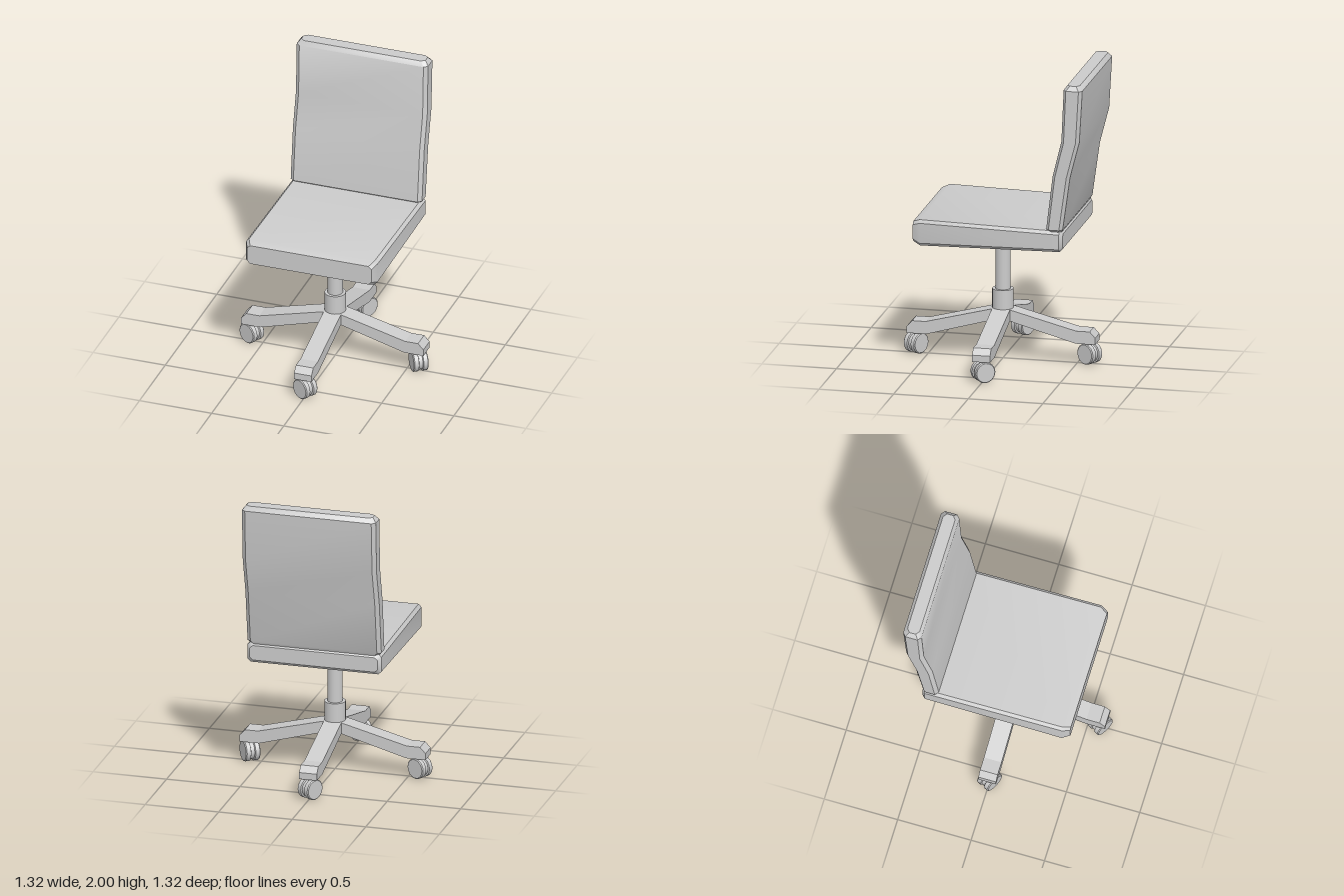
import * as THREE from 'three';
import { toCreasedNormals } from 'three/addons/utils/BufferGeometryUtils.js';

const material = new THREE.MeshStandardMaterial({ color: 0xcccccc });

function add(parent, name, geometry, y = 0) {
  const mesh = new THREE.Mesh(geometry, material);
  mesh.name = name;
  mesh.position.y = y;
  parent.add(mesh);
  return mesh;
}

// Rectangle with chamfered corners, counter-clockwise
function octagon(u0, u1, v0, v1, cu, cv) {
  return [
    [u1, v0 + cv], [u1, v1 - cv], [u1 - cu, v1], [u0 + cu, v1],
    [u0, v1 - cv], [u0, v0 + cv], [u0 + cu, v0], [u1 - cu, v0],
  ];
}

// Skin a row of closed rings of [x, y, z] points and cap both ends
function loft(rings) {
  const n = rings[0].length;
  const last = (rings.length - 1) * n;
  const index = [];
  for (let i = 0; i < rings.length - 1; i++) {
    for (let j = 0; j < n; j++) {
      const a = i * n + j, b = i * n + (j + 1) % n;
      index.push(a, b, b + n, a, b + n, a + n);
    }
  }
  for (let j = 1; j < n - 1; j++) {
    index.push(0, j + 1, j, last, last + j, last + j + 1);
  }
  const geometry = new THREE.BufferGeometry();
  geometry.setAttribute('position', new THREE.Float32BufferAttribute(rings.flat(2), 3));
  geometry.setIndex(index);
  return toCreasedNormals(geometry, 0.6);
}

// Seat cushion: stations of z, half width, bottom, top
function seatGeometry() {
  const stations = [
    [-0.50, 0.435, 0.89, 0.99],
    [-0.48, 0.455, 0.87, 1.01],
    [0.455, 0.455, 0.855, 1.03],
    [0.505, 0.43, 0.875, 1.01],
  ];
  return loft(stations.map(([z, w, y0, y1]) =>
    octagon(-w, w, y0, y1, 0.02, 0.02).map(([x, y]) => [x, y, z])));
}

// Backrest: stations of y, half width, back z, front z
function backrestGeometry() {
  const stations = [
    [1.0, 0.435, -0.49, -0.41],
    [1.02, 0.455, -0.5, -0.39],
    [1.38, 0.455, -0.55, -0.433],
    [1.62, 0.455, -0.612, -0.492],
    [1.97, 0.455, -0.632, -0.507],
    [2.0, 0.43, -0.61, -0.528],
  ];
  return loft(stations.map(([y, w, z0, z1]) =>
    octagon(z0, z1, -w, w, 0.02, 0.025).map(([z, x]) => [x, y, z])));
}

// Base leg: side profile running out along +x
function legGeometry() {
  const profile = [
    [0, 0.27], [0.055, 0.27], [0.5, 0.145], [0.632, 0.145],
    [0.632, 0.19], [0.595, 0.23], [0.505, 0.23], [0.06, 0.345], [0, 0.345],
  ];
  const shape = new THREE.Shape(profile.map(([x, y]) => new THREE.Vector2(x, y)));
  const geometry = new THREE.ExtrudeGeometry(shape, { depth: 0.12, bevelEnabled: false });
  return geometry.translate(0, 0, -0.06);
}

// Twin-wheel caster: one turned body with a groove in the middle, axis along z
function casterGeometry() {
  const profile = [
    [0, -0.05], [0.064, -0.05], [0.07, -0.044], [0.07, -0.016], [0.06, -0.012],
    [0.06, 0.012], [0.07, 0.016], [0.07, 0.044], [0.064, 0.05], [0, 0.05],
  ].map(([r, h]) => new THREE.Vector2(r, h));
  return toCreasedNormals(new THREE.LatheGeometry(profile, 16).rotateX(Math.PI / 2), 0.6);
}

export function createModel() {
  const chair = new THREE.Group();
  chair.name = 'officeChair';

  add(chair, 'seat', seatGeometry());
  add(chair, 'backrest', backrestGeometry());

  // Central column
  add(chair, 'seatCollar', new THREE.CylinderGeometry(0.07, 0.07, 0.05, 24), 0.842);
  add(chair, 'column', new THREE.CylinderGeometry(0.05, 0.05, 0.42, 24), 0.64);
  add(chair, 'hub', new THREE.CylinderGeometry(0.07, 0.07, 0.13, 24), 0.41);

  // Four legs, each with a caster swivelled its own way
  const leg = legGeometry();
  const wheel = casterGeometry();
  const pin = new THREE.CylinderGeometry(0.015, 0.015, 0.06, 10);
  const sides = [
    ['left', 1, 0, -54],
    ['back', 0, -1, 60],
    ['right', -1, 0, -27],
    ['front', 0, 1, -30],
  ];
  sides.forEach(([side, dx, dz, swivel], i) => {
    add(chair, side + 'Leg', leg).rotation.y = i * Math.PI / 2;

    const caster = new THREE.Group();
    caster.name = side + 'Caster';
    caster.position.set(dx * 0.578, 0, dz * 0.582);
    caster.rotation.y = THREE.MathUtils.degToRad(swivel);
    add(caster, 'wheels', wheel, 0.07);
    add(caster, 'pin', pin, 0.14);
    chair.add(caster);
  });

  return chair;
}
